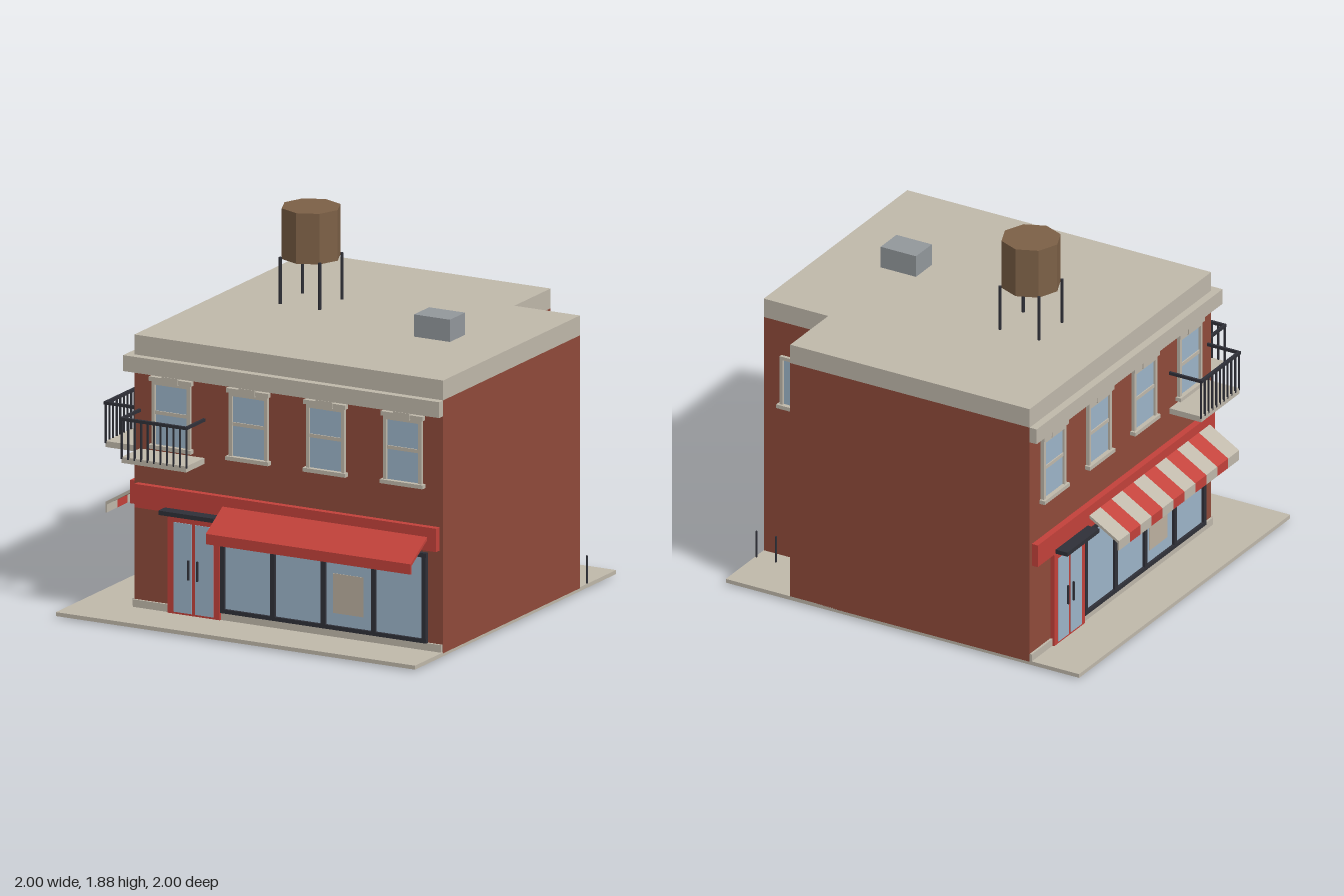
import * as THREE from 'three';

const paint = (name, color) => {
  const m = new THREE.MeshStandardMaterial({ color });
  m.name = name;
  return m;
};

export function createModel() {
  const brick = paint('brick', 0x8f4a3a);
  const stone = paint('stone', 0xbfb8aa);
  const red = paint('red', 0xc2413a);
  const glass = paint('glass', 0x9cb4c8);
  const dark = paint('dark metal', 0x2f3038);
  const wood = paint('tank wood', 0x7c6046);
  const grey = paint('grey metal', 0x92979b);
  const tan = paint('poster tan', 0xbcb0a0);

  const model = new THREE.Group();
  model.name = 'cornerShop';

  const add = (parent, name, geometry, material) => {
    const mesh = new THREE.Mesh(geometry, material);
    mesh.name = name;
    parent.add(mesh);
    return mesh;
  };
  const group = (parent, name) => {
    const g = new THREE.Group();
    g.name = name;
    parent.add(g);
    return g;
  };
  // Box given by its lower and upper corners
  const box = (parent, name, material, x0, x1, y0, y1, z0, z1) => {
    const mesh = add(parent, name, new THREE.BoxGeometry(x1 - x0, y1 - y0, z1 - z0), material);
    mesh.position.set((x0 + x1) / 2, (y0 + y1) / 2, (z0 + z1) / 2);
    return mesh;
  };
  const rod = (parent, name, material, x, z, y0, y1, r) => {
    const mesh = add(parent, name, new THREE.CylinderGeometry(r, r, y1 - y0, 8), material);
    mesh.position.set(x, (y0 + y1) / 2, z);
  };

  // L-shaped body with a notch in the back corner
  const footprint = new THREE.Shape([
    [-0.72, -0.72], [1, -0.72], [1, 0.64], [0.635, 0.64], [0.635, 1], [-0.72, 1],
  ].map(([x, y]) => new THREE.Vector2(x, y)));
  const storey = (name, material, y0, y1) => {
    const geo = new THREE.ExtrudeGeometry(footprint, { depth: y1 - y0, bevelEnabled: false });
    geo.rotateX(-Math.PI / 2);
    add(model, name, geo, material).position.y = y0;
  };
  box(model, 'pavement', stone, -1, 1, 0.01, 0.03, -1, 1);
  storey('brickWalls', brick, 0.025, 1.3);
  storey('parapetAndRoof', stone, 1.3, 1.4);
  box(model, 'frontCornice', stone, -0.76, 1, 1.22, 1.3, 0.72, 0.76);
  box(model, 'leftCornice', stone, -0.76, -0.72, 1.22, 1.3, -1, 0.72);

  // Framed window on a wall at local z = 0
  function addWindow(parent, x, y0, y1, w, hooded) {
    const g = group(parent, 'window');
    g.position.x = x;
    const h = w / 2, t = 0.018;
    box(g, 'windowGlass', glass, -h + t, h - t, y0 + t, y1 - t, 0, 0.006);
    for (const s of [-1, 1]) {
      box(g, 'windowJamb', stone, s * (h - t / 2) - t / 2, s * (h - t / 2) + t / 2, y0, y1, 0, 0.018);
    }
    box(g, 'windowHead', stone, -h + t, h - t, y1 - t, y1, 0, 0.018);
    box(g, 'windowSill', stone, -h - 0.012, h + 0.012, y0, y0 + 0.02, 0, 0.03);
    if (!hooded) return;
    box(g, 'windowMeetingRail', stone, -h + t, h - t, 1.018, 1.036, 0, 0.012);
    box(g, 'windowHood', stone, -h - 0.01, h + 0.01, y1, y1 + 0.022, 0, 0.026);
    box(g, 'windowKeystone', stone, -0.045, 0.045, y1 - 0.005, y1 + 0.03, 0, 0.03);
  }

  // Sloping cloth with a hanging valance, cut into stripes
  function addAwning(parent, x0, x1, materials) {
    const g = group(parent, 'awning');
    const profile = new THREE.Shape([
      [0.03, 0.612], [0.03, 0.596], [0.192, 0.5], [0.192, 0.46], [0.2, 0.46], [0.2, 0.512],
    ].map(([z, y]) => new THREE.Vector2(-z, y)));
    const w = (x1 - x0) / materials.length;
    materials.forEach((material, i) => {
      const geo = new THREE.ExtrudeGeometry(profile, { depth: w, bevelEnabled: false });
      geo.rotateY(Math.PI / 2);
      add(g, 'awningCloth', geo, material).position.x = x0 + i * w;
    });
  }

  function addBalcony(parent, x0) {
    const g = group(parent, 'balcony');
    g.position.x = x0;
    box(g, 'balconySlab', stone, 0, 0.36, 0.8, 0.83, 0, 0.18);
    box(g, 'frontRail', dark, -0.005, 0.365, 1.015, 1.03, 0.172, 0.187);
    for (const x of [0, 0.36]) {
      box(g, 'sideRail', dark, x - 0.006, x + 0.006, 1.015, 1.03, 0, 0.175);
    }
    for (let i = 0; i <= 10; i++) {
      const x = i * 0.036;
      box(g, 'baluster', dark, x - 0.004, x + 0.004, 0.82, 1.016, 0.174, 0.182);
    }
  }

  // One street facade, 1.72 wide, in local x from 0 with its wall at z = 0
  function addFacade(name, balconyX, cloth) {
    const f = group(model, name);
    box(f, 'signBoard', red, 0.02, 1.7, 0.54, 0.658, 0, 0.034);
    box(f, 'plinthLeft', stone, 0, 0.2, 0.02, 0.068, 0, 0.012);
    box(f, 'plinthRight', stone, 0.49, 1.715, 0.02, 0.068, 0, 0.012);
    box(f, 'doorStep', stone, 0.16, 0.52, 0, 0.02, 0, 0.18);

    // Double door
    const door = group(f, 'door');
    box(door, 'doorFrame', red, 0.197, 0.488, 0.025, 0.525, 0, 0.022);
    for (const s of [-1, 1]) {
      const c = 0.342 + s * 0.06;
      box(door, 'doorGlass', glass, c - 0.051, c + 0.051, 0.04, 0.492, 0.02, 0.025);
      const hx = 0.342 + s * 0.025;
      box(door, 'doorHandle', dark, hx - 0.004, hx + 0.004, 0.21, 0.31, 0.024, 0.034);
    }
    box(door, 'doorCanopy', dark, 0.19, 0.493, 0.54, 0.562, 0, 0.1);

    // Shop window
    const shop = group(f, 'shopWindow');
    box(shop, 'shopGlass', glass, 0.5, 1.63, 0.08, 0.52, 0, 0.01);
    box(shop, 'bottomRail', dark, 0.49, 1.637, 0.068, 0.088, 0, 0.024);
    box(shop, 'topRail', dark, 0.49, 1.637, 0.5, 0.522, 0, 0.024);
    for (let i = 0; i < 5; i++) {
      const x = 0.502 + i * 0.2805;
      box(shop, 'mullion', dark, x - 0.012, x + 0.012, 0.07, 0.52, 0, 0.024);
    }
    box(shop, 'poster', tan, 1.113, 1.283, 0.15, 0.35, 0.01, 0.013);

    addAwning(f, 0.51, 1.65, cloth);
    for (let i = 0; i < 4; i++) addWindow(f, 0.212 + i * 0.43, 0.845, 1.186, 0.214, true);
    addBalcony(f, balconyX);
    return f;
  }
  addFacade('frontFacade', 0.03, [red]).position.set(-0.72, 0, 0.72);
  const stripes = Array.from({ length: 11 }, (_, i) => (i % 2 ? red : stone));
  const left = addFacade('leftFacade', 1.325, stripes);
  left.position.set(-0.72, 0, -1);
  left.rotation.y = -Math.PI / 2;

  // Windows and posts in the back notch
  const sideWall = group(model, 'notchSideWall');
  sideWall.position.set(0.635, 0, -0.82);
  sideWall.rotation.y = Math.PI / 2;
  addWindow(sideWall, 0, 0.84, 1.12, 0.17, false);
  const backWall = group(model, 'notchBackWall');
  backWall.position.set(0.815, 0, -0.64);
  backWall.rotation.y = Math.PI;
  addWindow(backWall, 0, 0.84, 1.12, 0.17, false);
  for (const x of [0.773, 0.884, 0.994]) rod(model, 'yardPost', dark, x, -0.72, 0.02, 0.17, 0.005);

  // Rooftop water tank and vent
  const tank = group(model, 'waterTank');
  tank.position.set(-0.265, 0, -0.225);
  const barrel = new THREE.CylinderGeometry(0.148, 0.148, 0.255, 8).toNonIndexed();
  barrel.computeVertexNormals();
  add(tank, 'tankBarrel', barrel, wood).position.y = 1.753;
  for (const x of [-0.11, 0.11]) {
    for (const z of [-0.11, 0.11]) rod(tank, 'tankLeg', dark, x, z, 1.39, 1.635, 0.008);
  }
  box(model, 'roofVent', grey, 0.485, 0.685, 1.4, 1.512, -0.06, 0.09);

  return model;
}
